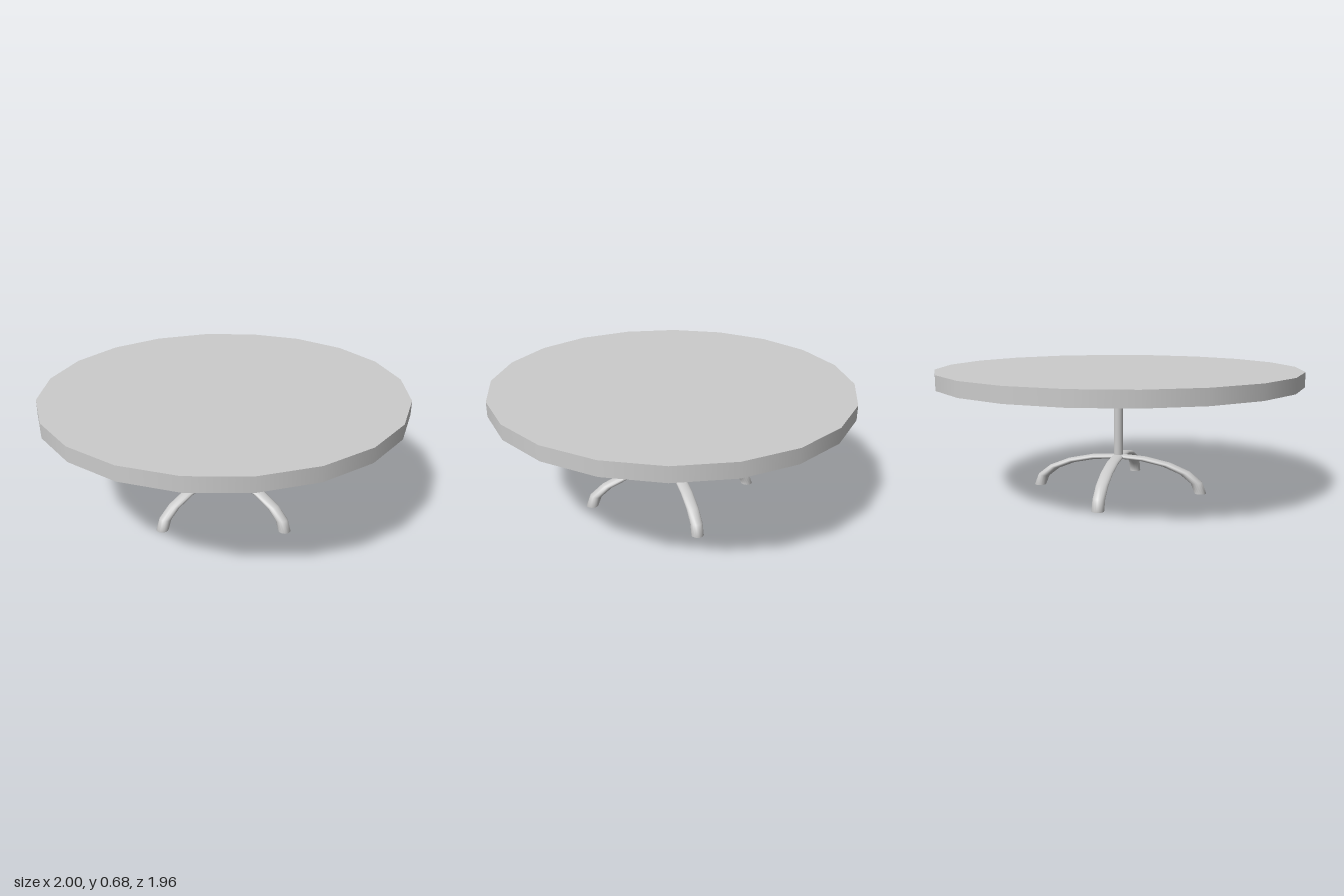
import * as THREE from 'three';

export function createModel() {
  const table = new THREE.Group();
  table.name = 'roundTable';
  const material = new THREE.MeshStandardMaterial({ color: 0xcccccc });
  const openMaterial = new THREE.MeshStandardMaterial({ color: 0xcccccc, side: THREE.DoubleSide });

  const add = (name, geometry, mat = material) => {
    const mesh = new THREE.Mesh(geometry, mat);
    mesh.name = name;
    table.add(mesh);
    return mesh;
  };

  // Twenty-sided top, very slightly shallower than wide
  const top = add('tableTop', new THREE.CylinderGeometry(1, 1, 0.08, 20));
  top.scale.z = 0.98;
  top.position.y = 0.643;

  // Central post, from the crossing of the legs up to the top
  const post = add('post', new THREE.CylinderGeometry(0.026, 0.026, 0.42, 16));
  post.position.y = 0.395;

  // Two flattened, open-ended half rings crossing at the centre, giving four legs
  const arch = new THREE.TorusGeometry(0.465, 0.033, 16, 10, Math.PI);
  arch.scale(1, 0.405, 1);
  ['sideLegs', 'frontAndBackLegs'].forEach((name, i) => {
    add(name, arch, openMaterial).rotation.y = i * Math.PI / 2;
  });

  return table;
}
